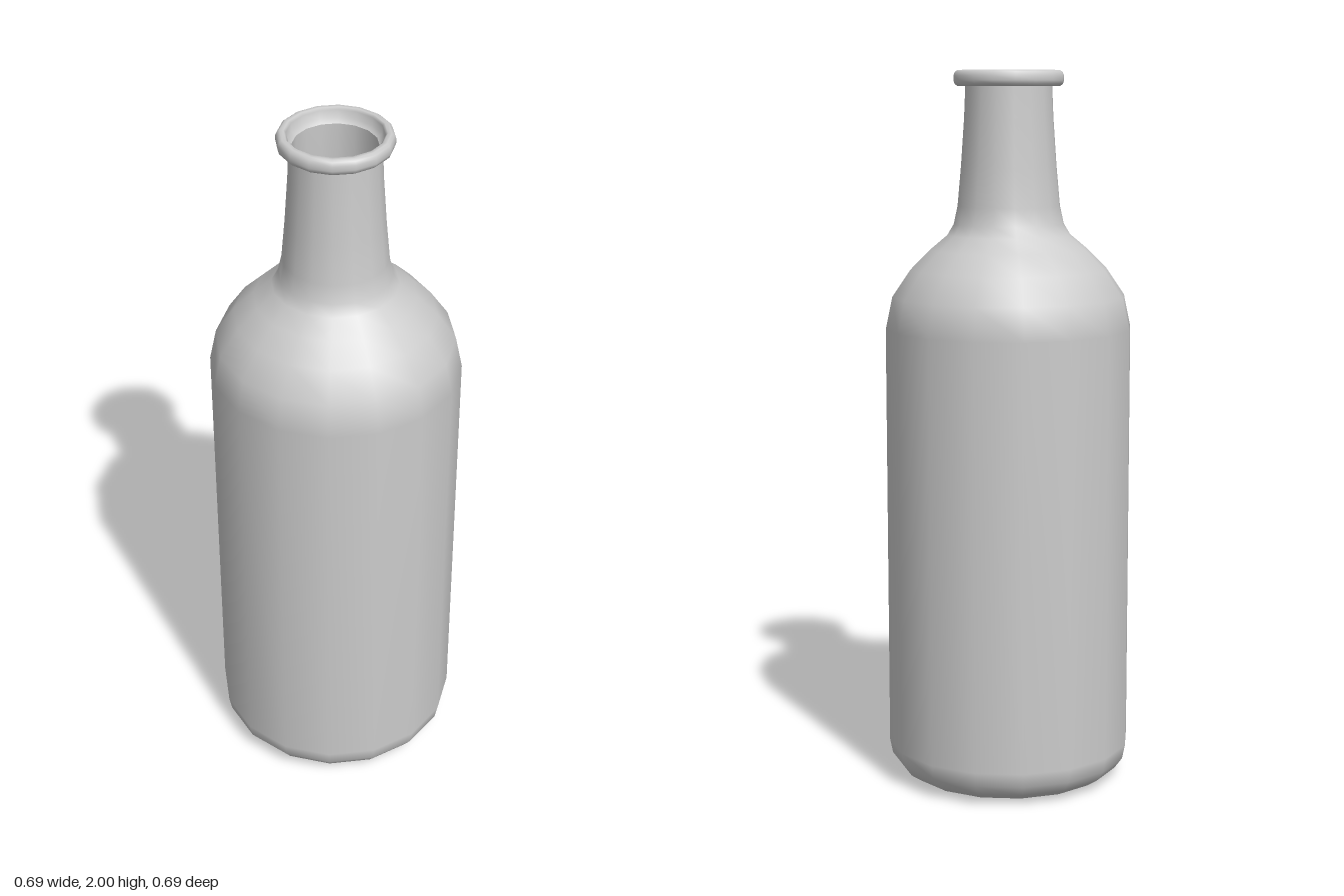
import * as THREE from 'three';

const SIDES = 16;

export function createModel() {
  const bottle = new THREE.Group();
  bottle.name = 'bottle';
  const material = new THREE.MeshStandardMaterial({ color: 0xcccccc, side: THREE.DoubleSide });

  // Revolve a [radius, height] profile; corners stay on the x and z axes
  const turn = (name, profile) => {
    const points = profile.map(([r, y]) => new THREE.Vector2(r, y));
    const mesh = new THREE.Mesh(new THREE.LatheGeometry(points, SIDES), material);
    mesh.name = name;
    bottle.add(mesh);
  };

  // Outer wall: rounded heel, straight body, shoulder and tapering neck
  const wall = [
    [0.25, 0], [0.285, 0.01], [0.315, 0.03], [0.337, 0.06], [0.345, 0.1],
    [0.345, 1.29], [0.326, 1.38], [0.275, 1.455], [0.22, 1.51], [0.172, 1.55],
    [0.154, 1.58], [0.143, 1.63], [0.133, 1.74], [0.124, 1.87], [0.12, 1.965],
  ];
  turn('outerWall', wall);

  // Flat underside
  turn('base', [[0, 0], [0.25, 0]]);

  // Rounded lip around the mouth
  turn('lip', [
    [0.118, 1.957], [0.143, 1.957], [0.15, 1.963], [0.153, 1.972], [0.153, 1.985],
    [0.149, 1.995], [0.142, 2], [0.132, 2], [0.126, 1.994], [0.125, 1.972], [0.112, 1.962],
  ]);

  // Inner wall follows the outer wall from the mouth down to the floor
  const inner = wall.slice(1).reverse().map(([r, y]) => [r - 0.009, Math.max(y, 0.015)]);
  inner[0] = [0.112, 1.962];
  turn('innerWall', inner);
  turn('innerFloor', [[0.276, 0.015], [0, 0.015]]);

  return bottle;
}
